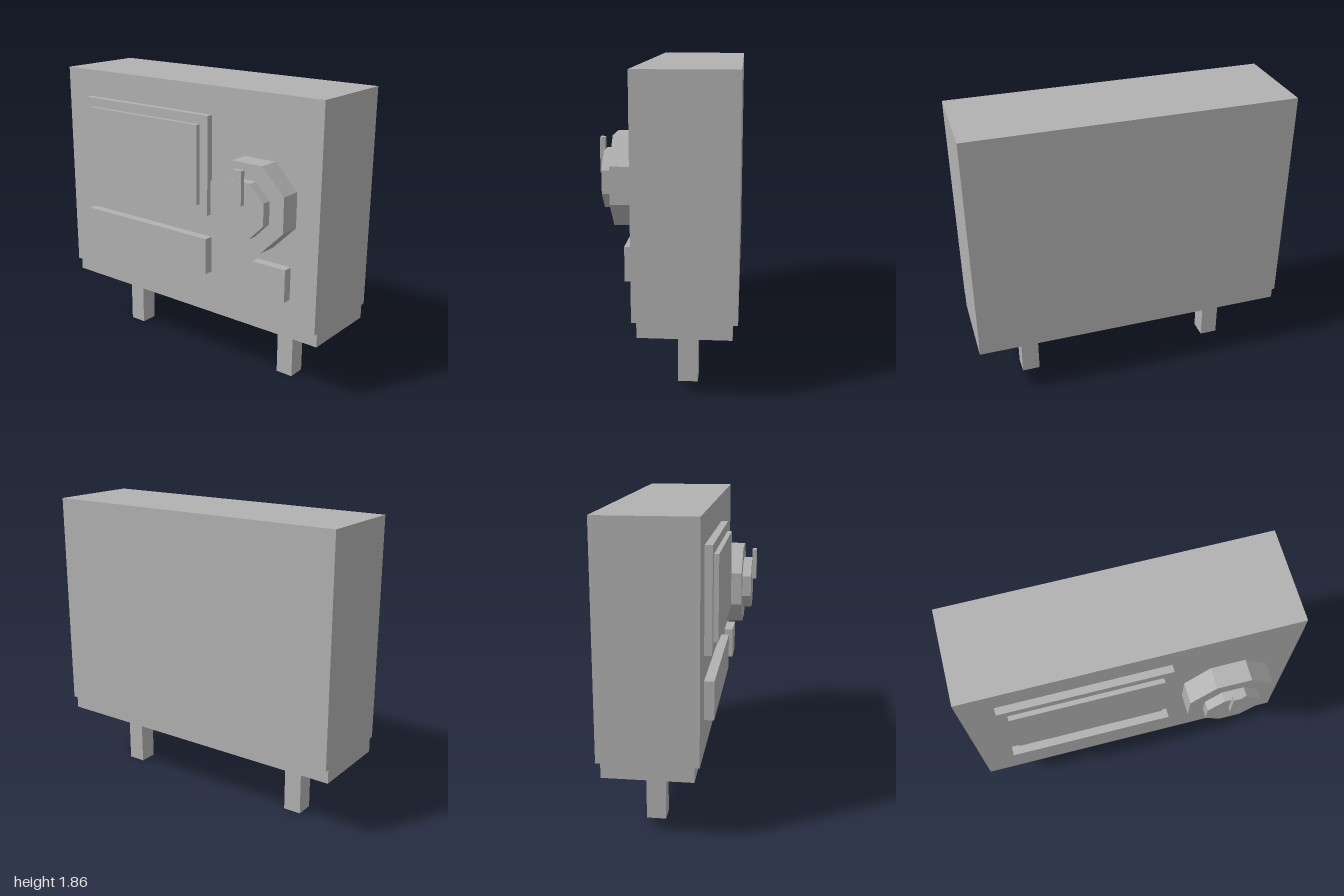
import * as THREE from 'three';

export function createModel() {
  const model = new THREE.Group();
  model.name = 'wallUnit';
  const grey = new THREE.MeshStandardMaterial({ name: 'grey', color: 0xb2b2b2, flatShading: true });

  // Box given by its limits on each axis
  function box(name, [x0, x1], [y0, y1], [z0, z1], parent = model) {
    const mesh = new THREE.Mesh(new THREE.BoxGeometry(x1 - x0, y1 - y0, z1 - z0), grey);
    mesh.position.set((x0 + x1) / 2, (y0 + y1) / 2, (z0 + z1) / 2);
    mesh.name = name;
    parent.add(mesh);
  }

  // Eight-sided disc facing +z, with a flat side on top
  function octagon(name, radius, z0, z1) {
    const geometry = new THREE.CylinderGeometry(radius, radius, z1 - z0, 8);
    geometry.rotateY(Math.PI / 8).rotateX(Math.PI / 2);
    const mesh = new THREE.Mesh(geometry, grey);
    mesh.position.set(0.586, 1.209, (z0 + z1) / 2);
    mesh.name = name;
    model.add(mesh);
  }

  const face = 0.184; // front of the cabinet

  // Cabinet and its recessed base
  box('cabinet', [-1, 1], [0.472, 1.855], [-0.405, face]);
  box('base', [-1, 1], [0.385, 0.472], [-0.376, 0.155]);

  // Raised panels on the front
  box('screenFrame', [-0.795, 0.232], [1.06, 1.68], [face, 0.229]);
  box('screen', [-0.737, 0.173], [1.124, 1.622], [0.229, 0.258]);
  box('lowerPanel', [-0.795, 0.232], [0.68, 0.912], [face, 0.243]);
  box('button', [0.588, 0.82], [0.65, 0.855], [face, 0.243]);

  // Stepped dial with a pointer
  octagon('dial', 0.281, face, 0.317);
  octagon('dialHub', 0.178, 0.317, 0.376);
  box('pointer', [0.557, 0.615], [1.24, 1.445], [0.376, 0.405]);

  // Two legs with collars
  for (const side of [-1, 1]) {
    const leg = new THREE.Group();
    leg.name = side > 0 ? 'leftLeg' : 'rightLeg';
    leg.position.x = side * 0.647;
    box('post', [-0.057, 0.057], [0, 0.33], [-0.169, -0.052], leg);
    box('collar', [-0.088, 0.088], [0.33, 0.385], [-0.199, -0.022], leg);
    model.add(leg);
  }
  return model;
}
